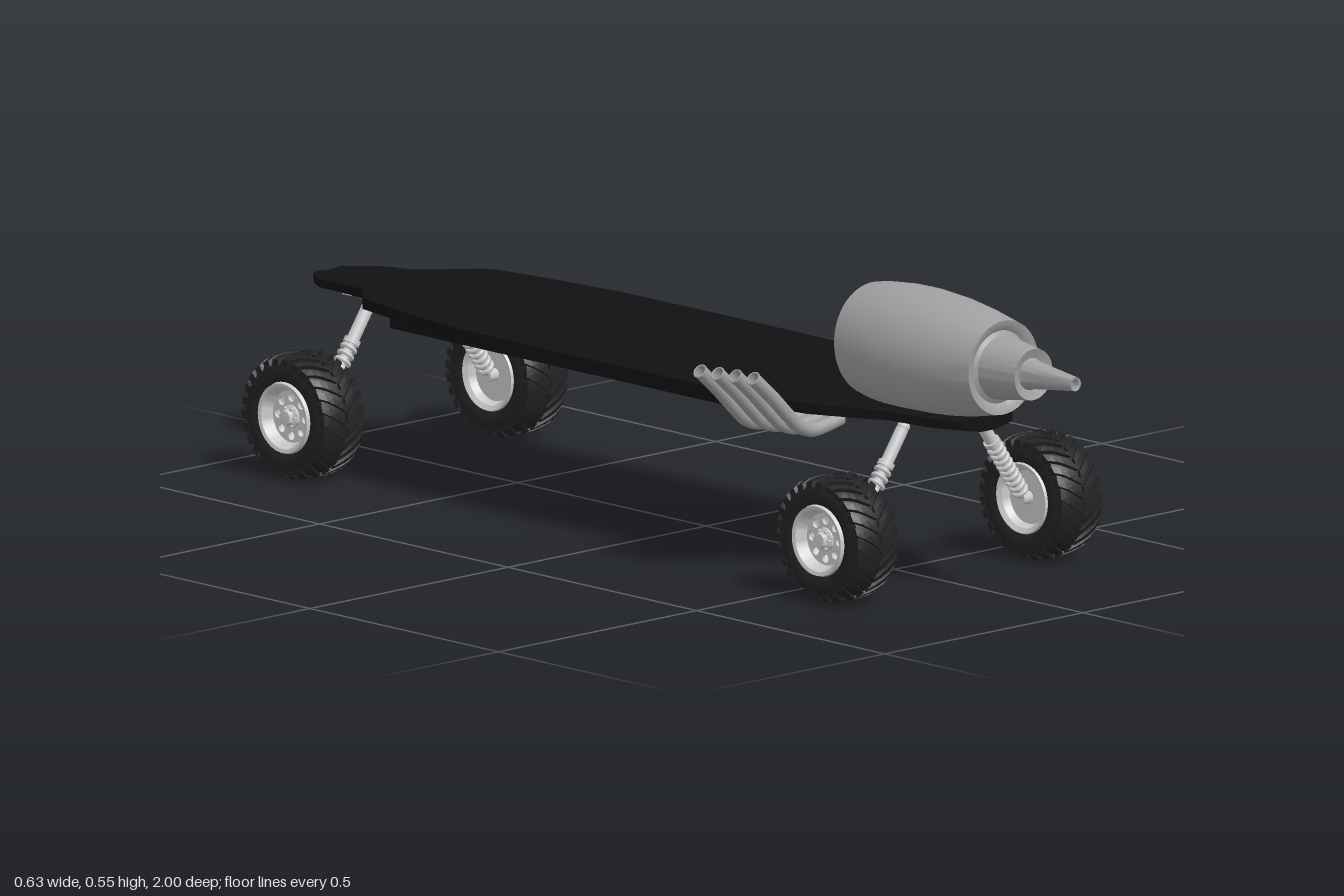
import * as THREE from 'three';
import { mergeGeometries, toCreasedNormals } from 'three/addons/utils/BufferGeometryUtils.js';

const grey = new THREE.MeshStandardMaterial({ color: 0xcccccc, side: THREE.DoubleSide });
const steel = new THREE.MeshStandardMaterial({ color: 0xa0a0a0, side: THREE.DoubleSide });
const black = new THREE.MeshStandardMaterial({ color: 0x111111 });
const rubber = new THREE.MeshStandardMaterial({ color: 0x222222, side: THREE.DoubleSide });

function add(parent, name, geo, mat, x = 0, y = 0, z = 0) {
  const m = new THREE.Mesh(geo, mat);
  m.name = name;
  m.position.set(x, y, z);
  parent.add(m);
  return m;
}
const lathe = (pts, seg) =>
  toCreasedNormals(new THREE.LatheGeometry(pts.map(p => new THREE.Vector2(p[0], p[1])), seg), 0.6);

// Deck: cross-sections lofted along z; each station is [z, half width, dish, lift]
function deckGeometry() {
  const stations = [
    [-1, 0.04, 0.1, -0.005], [-0.975, 0.06, 0.15, -0.005], [-0.94, 0.08, 0.2, -0.003],
    [-0.85, 0.093, 0.4, 0], [-0.8, 0.108, 0.7, 0.002], [-0.73, 0.172, 1, 0.002],
    [-0.6, 0.195, 1, 0.001], [-0.45, 0.214, 1, 0], [-0.2, 0.217, 1, 0], [0.2, 0.215, 1, 0],
    [0.35, 0.2, 1, 0], [0.46, 0.182, 1, 0], [0.54, 0.14, 0.8, 0], [0.6, 0.105, 0.5, 0],
    [0.69, 0.09, 0.4, 0], [0.75, 0.06, 0.3, 0]];
  // [fraction of half width, base height, extra height of the dished sides]
  const top = [[-1, 0.327, 0.01], [-0.8, 0.328, 0.017], [-0.35, 0.328, 0.005], [0, 0.327, 0],
    [0.35, 0.328, 0.005], [0.8, 0.328, 0.017], [1, 0.327, 0.01]];
  const bottom = [[1, 0.313, 0.004], [0.75, 0.308, 0.007], [0.3, 0.305, 0],
    [-0.3, 0.305, 0], [-0.75, 0.308, 0.007], [-1, 0.313, 0.004]];
  const ring = [...top, ...bottom], n = ring.length, pos = [], idx = [];
  for (const [z, w, dish, lift] of stations)
    for (const [f, y, d] of ring) pos.push(f * w, y + d * dish + lift, z);
  for (let s = 0; s < stations.length - 1; s++)
    for (let i = 0; i < n; i++) {
      const a = s * n + i, b = s * n + (i + 1) % n;
      idx.push(a, a + n, b, b, a + n, b + n);
    }
  // end caps, stitched between the top and bottom edges
  const e = (stations.length - 1) * n;
  for (let i = 0; i < 6; i++) {
    const a = i, b = i + 1, c = n - 1 - i, d = Math.max(n - 2 - i, 7);
    idx.push(a, b, c, b, d, c, e + a, e + c, e + b, e + b, e + c, e + d);
  }
  const g = new THREE.BufferGeometry();
  g.setAttribute('position', new THREE.Float32BufferAttribute(pos, 3));
  g.setIndex(idx);
  return toCreasedNormals(g, 0.4);
}

// Tread lug: a box bent around the tyre, swept back towards the shoulder
function lugGeometry(a0, side) {
  const g = new THREE.BoxGeometry(0.05, 0.012, 1, 4, 1, 1), p = g.attributes.position;
  for (let i = 0; i < p.count; i++) {
    const u = p.getX(i) + 0.025, t = u / 0.05;
    const a = a0 + 0.32 * t + p.getZ(i) * (0.09 + 0.05 * t);
    const r = 0.112 + p.getY(i) - 0.009 * Math.pow(t, 4);
    p.setXYZ(i, side * (u + 0.001), r * Math.sin(a), r * Math.cos(a));
  }
  // keep faces outward: this bend preserves handedness only on one side
  if (side > 0) return g.toNonIndexed();
  const ix = g.index.array;
  for (let i = 0; i < ix.length; i += 3) [ix[i], ix[i + 1]] = [ix[i + 1], ix[i]];
  return g.toNonIndexed();
}

function makeWheel() {
  const wheel = new THREE.Group();
  const tyre = lathe([[0.064, -0.044], [0.075, -0.05], [0.094, -0.05], [0.105, -0.045], [0.11, -0.03],
    [0.112, 0], [0.11, 0.03], [0.105, 0.045], [0.094, 0.05], [0.075, 0.05], [0.064, 0.044]], 48);
  add(wheel, 'tyre', tyre.rotateZ(-Math.PI / 2), rubber);
  const lugs = [], count = 26;
  for (let i = 0; i < count; i++) {
    const a = i / count * Math.PI * 2;
    lugs.push(lugGeometry(a, 1), lugGeometry(a + Math.PI / count, -1));
  }
  const tread = mergeGeometries(lugs);
  tread.computeVertexNormals();
  add(wheel, 'tread', tread, rubber);

  const rim = lathe([[0.05, -0.03], [0.056, -0.045], [0.065, -0.051], [0.067, -0.046], [0.06, -0.03],
    [0.06, 0.03], [0.067, 0.046], [0.065, 0.053], [0.058, 0.051], [0.05, 0.032], [0.046, 0.026]], 40);
  add(wheel, 'rim', rim.rotateZ(-Math.PI / 2), grey);

  // wheel disc pierced by a ring of round holes
  const disc = new THREE.Shape().absarc(0, 0, 0.051, 0, Math.PI * 2);
  for (let i = 0; i < 8; i++) {
    const a = i * Math.PI / 4;
    disc.holes.push(new THREE.Path().absarc(0.036 * Math.cos(a), 0.036 * Math.sin(a), 0.008, 0, Math.PI * 2, true));
  }
  const face = new THREE.ExtrudeGeometry(disc, { depth: 0.006, bevelEnabled: false, curveSegments: 20 });
  add(wheel, 'wheelDisc', face.rotateY(Math.PI / 2), grey, 0.024);
  const hub = lathe([[0.022, 0.02], [0.022, 0.034], [0.015, 0.038], [0.013, 0.047], [0, 0.048]], 24);
  add(wheel, 'hub', hub.rotateZ(-Math.PI / 2), grey);
  for (let i = 0; i < 6; i++) {
    const a = i * Math.PI / 3;
    const bolt = new THREE.CylinderGeometry(0.003, 0.003, 0.008, 6).rotateZ(Math.PI / 2);
    add(wheel, 'wheelBolt', bolt, grey, 0.037, 0.018 * Math.sin(a), 0.018 * Math.cos(a));
  }
  const back = new THREE.CylinderGeometry(0.052, 0.052, 0.005, 32).rotateZ(Math.PI / 2);
  add(wheel, 'backPlate', back, grey, -0.028);
  return wheel;
}

// Suspension leg hanging from its own origin along -y, with stacked spring coils
function makeStrut(length) {
  const strut = new THREE.Group();
  const cyl = (name, r, y0, y1) =>
    add(strut, name, new THREE.CylinderGeometry(r, r, y1 - y0, 18), grey, 0, -(y0 + y1) / 2, 0);
  add(strut, 'ballJoint', new THREE.SphereGeometry(0.012, 16, 12), grey);
  cyl('damperBody', 0.012, 0.005, 0.085);
  cyl('upperCollar', 0.016, 0.073, 0.083);
  cyl('damperRod', 0.009, 0.08, length);
  for (let y = 0.092; y < length - 0.012; y += 0.0135) {
    const coil = new THREE.TorusGeometry(0.013, 0.0045, 8, 20).rotateX(Math.PI / 2).rotateZ(0.15);
    add(strut, 'springCoil', coil, grey, 0, -y, 0);
  }
  return strut;
}

export function createModel() {
  const model = new THREE.Group();
  model.name = 'jetBoard';
  add(model, 'deck', deckGeometry(), black);
  for (const s of [-1, 1])
    add(model, 'underRail', new THREE.BoxGeometry(0.05, 0.03, 0.98), black, s * 0.126, 0.303, -0.19);

  // Wheels, axles and suspension legs
  const cx = 0.006, top = new THREE.Vector2(0.09, 0.303), foot = new THREE.Vector2(0.215, 0.122);
  for (const z of [0.612, -0.805])
    for (const s of [-1, 1]) {
      const corner = new THREE.Group();
      corner.name = (z > 0 ? 'front' : 'rear') + (s > 0 ? 'Left' : 'Right') + 'Wheel';
      corner.position.set(cx, 0, z);
      corner.scale.x = s;
      const wheel = makeWheel();
      wheel.name = 'wheel';
      wheel.position.set(0.257, 0.122, 0);
      const strut = makeStrut(top.distanceTo(foot));
      strut.name = 'suspensionLeg';
      strut.position.set(top.x, top.y, 0);
      strut.rotation.z = Math.atan2(foot.x - top.x, top.y - foot.y);
      corner.add(wheel, strut);
      add(corner, 'axle', new THREE.CylinderGeometry(0.012, 0.012, 0.06, 16).rotateZ(Math.PI / 2), grey, 0.235, 0.122, 0);
      model.add(corner);
    }

  // Jet engine: one hollow profile from the tip bore round to the intake and back out
  const engine = lathe([[0.009, 0.995], [0.02, 0.87], [0.04, 0.65], [0.045, 0.56], [0.06, 0.545], [0.078, 0.54],
    [0.084, 0.5], [0.092, 0.468], [0.098, 0.461], [0.104, 0.465], [0.109, 0.49], [0.115, 0.55], [0.1155, 0.6],
    [0.111, 0.67], [0.101, 0.74], [0.088, 0.805], [0.078, 0.803], [0.068, 0.795], [0.06, 0.8],
    [0.048, 0.885], [0.03, 0.878], [0.026, 0.89], [0.013, 0.997], [0.009, 0.995]], 56).rotateX(Math.PI / 2);
  const p = engine.attributes.position;
  for (let i = 0; i < p.count; i++) // slanted intake
    p.setZ(i, p.getZ(i) - 0.08 * p.getY(i) * Math.max(0, (0.6 - p.getZ(i)) / 0.14));
  add(model, 'jetEngine', engine, steel, -0.015, 0.434, 0);

  // Four curved exhaust pipes per side
  for (const s of [-1, 1])
    for (let i = 0; i < 4; i++) {
      const z = 0.296 + i * 0.047, dy = (i - 1.5) * 0.003;
      const pts = [[0.073, 0.284], [0.11, 0.276], [0.145, 0.273], [0.178, 0.285], [0.21, 0.312], [0.25, 0.35], [0.301, 0.394]];
      const curve = new THREE.CatmullRomCurve3(pts.map(([x, y]) =>
        new THREE.Vector3(s * x, y + dy, z + (y - 0.33) * 0.07)));
      add(model, 'exhaustPipe', new THREE.TubeGeometry(curve, 28, 0.0135, 14), steel);
      const end = curve.getPoint(1), rim = new THREE.TorusGeometry(0.0125, 0.002, 6, 18);
      add(model, 'exhaustLip', rim, steel, end.x, end.y, end.z)
        .quaternion.setFromUnitVectors(new THREE.Vector3(0, 0, 1), curve.getTangent(1));
    }

  // Small slanted bracket under the tail
  const bracket = add(model, 'tailBracket', new THREE.BoxGeometry(0.04, 0.006, 0.11), grey, 0, 0.295, -0.915);
  bracket.rotation.x = 0.17;
  add(model, 'bracketPin', new THREE.CylinderGeometry(0.009, 0.009, 0.02, 16).rotateX(Math.PI / 2), grey, 0, 0.291, -0.86);
  add(model, 'bracketMount', new THREE.BoxGeometry(0.03, 0.02, 0.02), grey, 0, 0.297, -0.94);
  return model;
}
